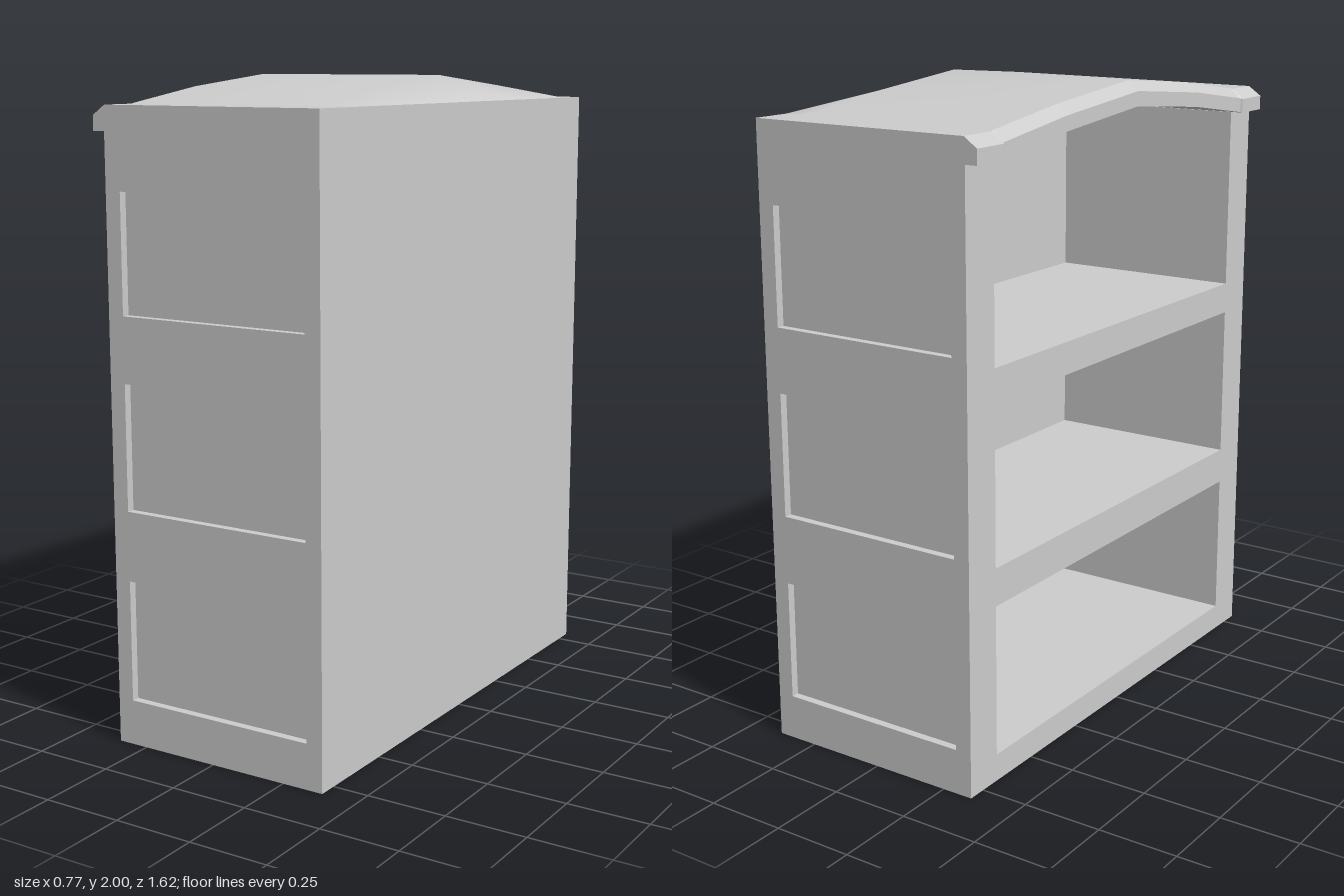
import * as THREE from 'three';

const material = new THREE.MeshStandardMaterial({ color: 0xcccccc });

const BACK = 0.385, FRONT = -0.35, HALF = 0.81, INNER = 0.68;
const BACK_IN = 0.3, EAVE = 1.845;

function add(group, name, geometry) {
  const mesh = new THREE.Mesh(geometry, material);
  mesh.name = name;
  group.add(mesh);
  return mesh;
}

// Box given by its minimum and maximum on each axis
function block(group, name, [x0, x1], [y0, y1], [z0, z1]) {
  const mesh = add(group, name, new THREE.BoxGeometry(x1 - x0, y1 - y0, z1 - z0));
  mesh.position.set((x0 + x1) / 2, (y0 + y1) / 2, (z0 + z1) / 2);
}

// Rectangle outline, counter-clockwise
function rect(Type, x0, x1, y0, y1) {
  const r = new Type();
  r.moveTo(x0, y0);
  r.lineTo(x1, y0);
  r.lineTo(x1, y1);
  r.lineTo(x0, y1);
  r.closePath();
  return r;
}

// Roof stations: z, crown height, overhang x
const stations = [
  [HALF, 1.92, -0.39], [0.685, 1.92, -0.39], [INNER, 1.922, -0.383],
  [0.38, 1.966, -0.383], [0.02, 2, -0.383], [-0.37, 1.964, -0.383],
  [-INNER, 1.922, -0.383], [-0.685, 1.92, -0.39], [-HALF, 1.92, -0.39],
];

// Roof cross-section, from the back edge over the top and round underneath
function section([z, top, lip]) {
  return [
    [BACK, 1.92], [BACK_IN, top], [-0.347, top], [lip, top - 0.03],
    [lip, top - 0.075], [BACK_IN, top - 0.075], [BACK_IN, EAVE], [BACK, EAVE],
  ].map(([x, y]) => [x, y, z]);
}

// Smooth crowned top surface
function roofTop() {
  const points = stations.map((s) => section(s).slice(0, 3));
  const index = [];
  for (let i = 0; i < points.length - 1; i++) {
    for (let j = 0; j < 2; j++) {
      const a = i * 3 + j, b = a + 3;
      index.push(a, b, a + 1, b, b + 1, a + 1);
    }
  }
  const g = new THREE.BufferGeometry();
  g.setAttribute('position', new THREE.Float32BufferAttribute(points.flat(2), 3));
  g.setIndex(index);
  g.computeVertexNormals();
  return g;
}

// Flat-faced lip, ceiling, rear edge and end caps
function roofEdges() {
  const rings = stations.map(section);
  const n = rings[0].length;
  const p = [];
  for (let i = 0; i < rings.length - 1; i++) {
    const a = rings[i], b = rings[i + 1];
    for (let j = 2; j < n; j++) {
      const k = (j + 1) % n;
      p.push(a[j], b[j], a[k], b[j], b[k], a[k]);
    }
  }
  const first = rings[0], last = rings[rings.length - 1];
  for (let k = 1; k < n - 1; k++) {
    p.push(first[0], first[k], first[k + 1], last[0], last[k + 1], last[k]);
  }
  const g = new THREE.BufferGeometry();
  g.setAttribute('position', new THREE.Float32BufferAttribute(p.flat(), 3));
  g.computeVertexNormals();
  return g;
}

export function createModel() {
  const model = new THREE.Group();
  model.name = 'bookcase';

  // Side walls: solid core faced with a frame holding three sunken panels
  const frame = rect(THREE.Shape, FRONT, BACK, 0, EAVE);
  for (const [y0, y1] of [[0.14, 0.515], [0.73, 1.115], [1.315, 1.675]]) {
    frame.holes.push(rect(THREE.Path, -0.298, 0.333, y0, y1));
  }
  const depth = 0.025;
  const frameGeometry = new THREE.ExtrudeGeometry(frame, { depth, bevelEnabled: false });
  for (const side of [1, -1]) {
    const wall = new THREE.Group();
    wall.name = side > 0 ? 'frontSideWall' : 'rearSideWall';
    const z = [side * INNER, side * (HALF - depth)].sort((a, b) => a - b);
    block(wall, 'wallCore', [FRONT, BACK], [0, EAVE], z);
    add(wall, 'panelFrame', frameGeometry).position.z = side > 0 ? HALF - depth : -HALF;
    model.add(wall);
  }

  // Back panel, floor and shelves
  block(model, 'backPanel', [BACK_IN, BACK], [0, EAVE], [-INNER, INNER]);
  const levels = [['floor', 0, 0.085], ['lowerShelf', 0.555, 0.672], ['upperShelf', 1.165, 1.265]];
  for (const [name, y0, y1] of levels) {
    block(model, name, [FRONT, BACK_IN], [y0, y1], [-INNER, INNER]);
  }

  // Arched roof with overhanging chamfered lip
  const roof = new THREE.Group();
  roof.name = 'archedTop';
  add(roof, 'topSurface', roofTop());
  add(roof, 'topLip', roofEdges());
  model.add(roof);

  return model;
}
